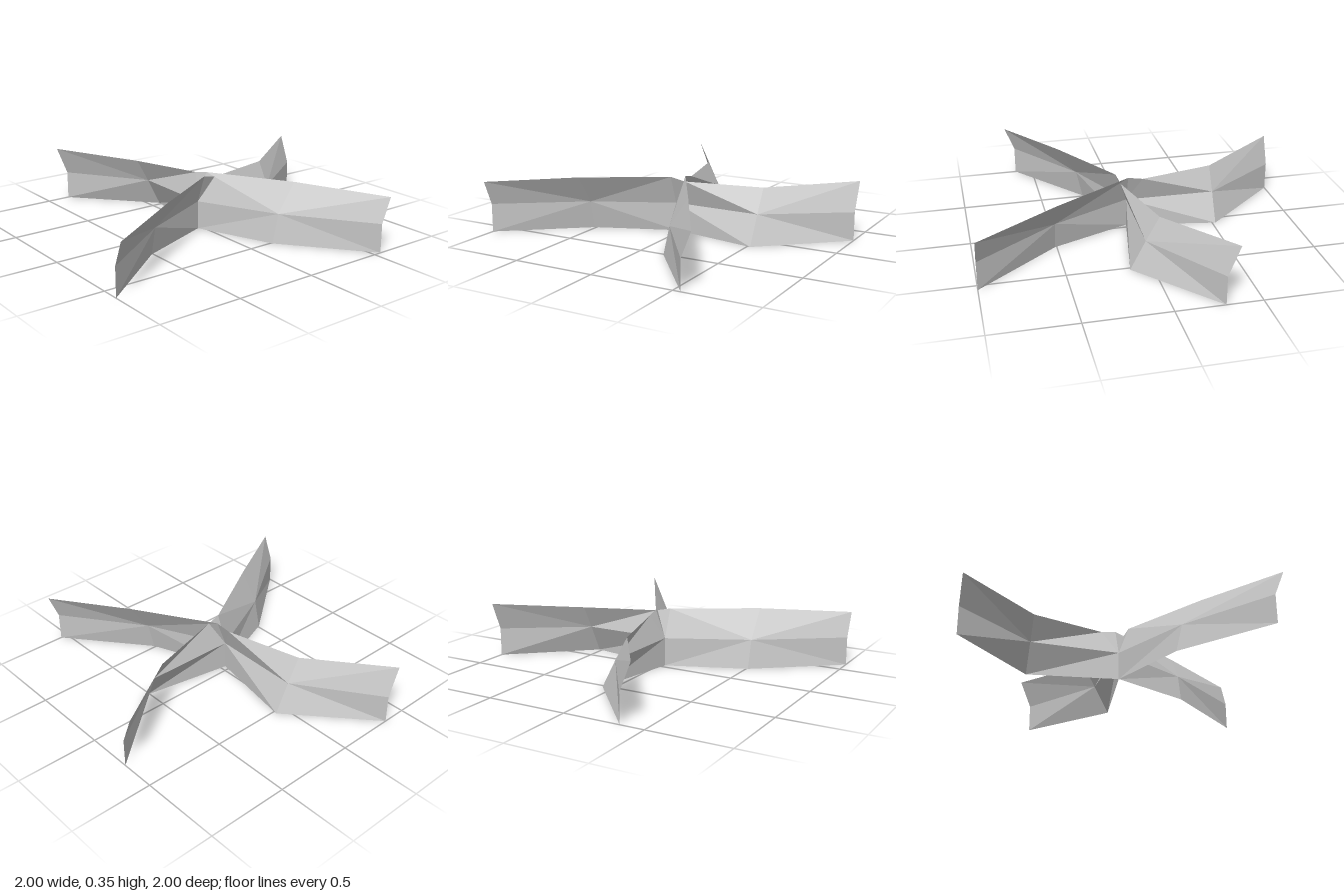
import * as THREE from 'three';

// Arm profiles around the hub: columns (inner, middle, outer) of bottom, centre and top points
const longArm = [
  [[0, 0, 0], [0, 0.175, 0], [0, 0.35, 0.065]],
  [[-0.4775, 0, 0.19], [-0.4775, 0.175, 0.23], [-0.4775, 0.35, 0.35]],
  [[-0.9675, 0, 0.58], [-0.9675, 0.175, 0.58], [-0.9675, 0.325, 0.64]],
];
const twistedArm = [
  [[0, 0, 0], [0, 0.175, 0], [0.0925, 0.33, 0.055]],
  [[0.5525, 0, 0.1], [0.5525, 0.175, 0.01], [0.5525, 0.32, -0.07]],
  [[1.0325, 0, -0.32], [1.0325, 0.175, -0.32], [1.0325, 0.35, -0.39]],
];

function facets(triangles) {
  const g = new THREE.BufferGeometry();
  g.setAttribute('position', new THREE.Float32BufferAttribute(triangles.flat(2), 3));
  g.computeVertexNormals();
  return g;
}

// Folded sheet whose facets fan out from the middle point
function sheet(cols, turnInnerDiagonal) {
  const tris = [];
  for (let c = 0; c < 2; c++) {
    for (let r = 0; r < 2; r++) {
      const a = cols[c][r], b = cols[c + 1][r];
      const d = cols[c + 1][r + 1], e = cols[c][r + 1];
      let rising = c === r;
      if (turnInnerDiagonal && c === 0 && r === 0) rising = false;
      if (rising) tris.push([a, b, d], [a, d, e]);
      else tris.push([a, b, e], [b, d, e]);
    }
  }
  return facets(tris);
}

export function createModel() {
  const model = new THREE.Group();
  model.name = 'crossedSheets';
  const grey = new THREE.MeshStandardMaterial({ color: 0xc4c4c4, flatShading: true, side: THREE.DoubleSide });
  grey.name = 'light grey';

  // Two equal sheets crossing at the hub, a quarter turn apart
  for (let i = 0; i < 2; i++) {
    const strip = new THREE.Group();
    strip.name = i === 0 ? 'sideSheet' : 'frontBackSheet';
    const parts = {
      longArm: sheet(longArm, false),
      twistedArm: sheet(twistedArm, true),
      // Small facet joining the arms' top corners
      hubFacet: facets([[longArm[0][1], twistedArm[0][2], longArm[0][2]]]),
    };
    for (const [name, geometry] of Object.entries(parts)) {
      const mesh = new THREE.Mesh(geometry, grey);
      mesh.name = name;
      strip.add(mesh);
    }
    strip.position.set(-0.0325, 0, 0.0325);
    strip.rotation.y = i * Math.PI / 2;
    model.add(strip);
  }
  return model;
}
